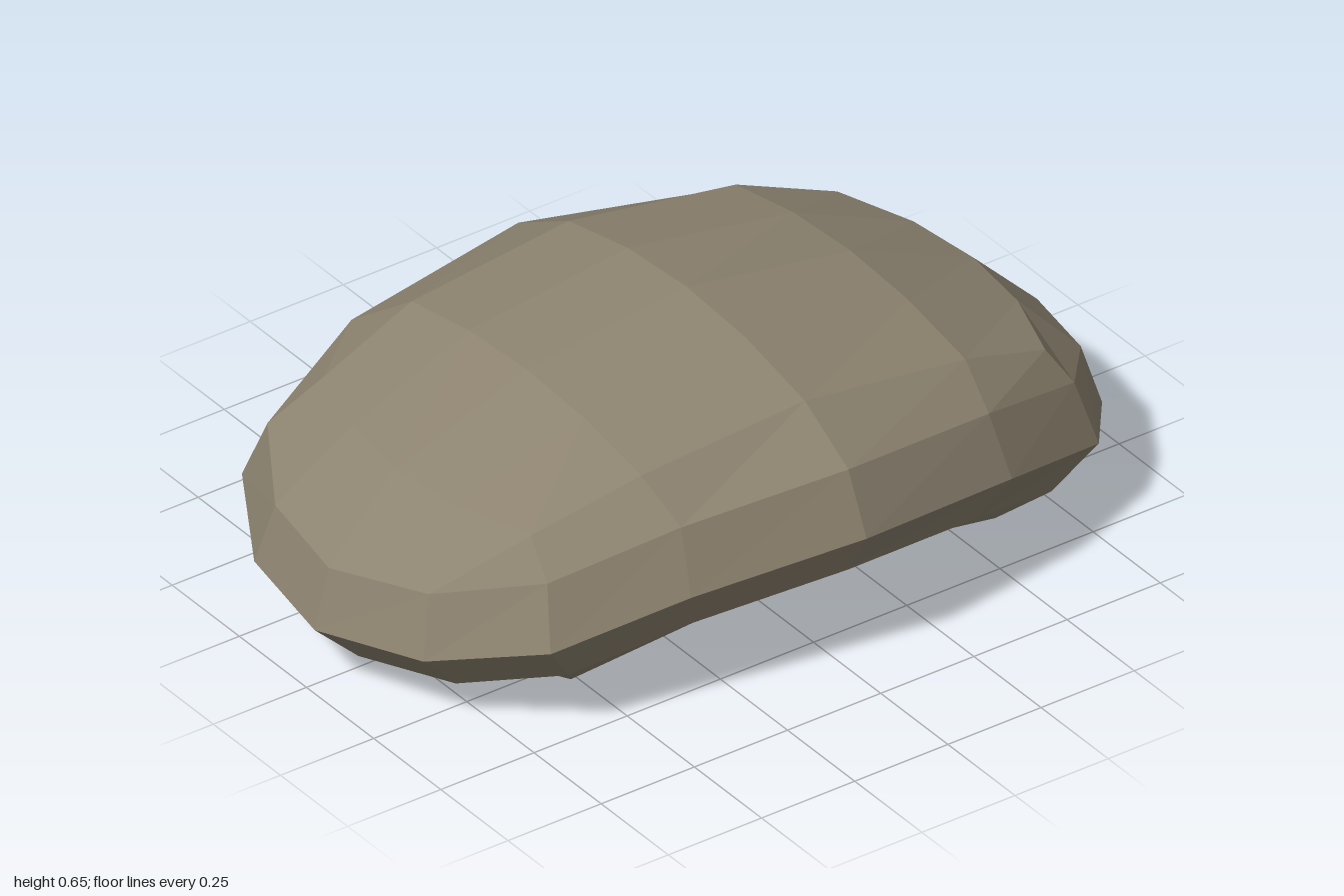
import * as THREE from 'three';

// Widest outline [x, z], from the front left corner round the model
const RIM = [
  [-0.72, 0.52], [-0.4, 0.6], [0.02, 0.67], [0.46, 0.6], [0.78, 0.48],
  [0.94, 0.27], [1, 0], [0.94, -0.27], [0.78, -0.48],
  [0.46, -0.6], [0.01, -0.68], [-0.49, -0.63], [-0.82, -0.49],
  [-0.96, -0.25], [-1, 0.03], [-0.91, 0.31],
];
// Lengthwise profiles of the domed top and hollow underside
const TOP = { x: [-0.76, -0.41, 0.02, 0.46, 0.79], y: [0.48, 0.605, 0.655, 0.58, 0.435], edge: [0, -0.05, -0.063, -0.055, 0] };
const BASE = { x: [-0.64, -0.3, 0.02, 0.32, 0.64], y: [0.02, 0.09, 0.12, 0.08, 0.003], edge: [0.045, 0.035, 0.03, 0.035, 0.045] };

function rimPoint(i, k) {
  if (k === 2) return RIM[i + 2];
  if (i === 2) return RIM[6 - k];
  if (k === -2) return RIM[10 - i];
  return RIM[14 + k];
}

// Grid cell corner (i, j, k), each from -2 to 2, to its place on the bent body
function place(i, j, k) {
  if (Math.abs(j) === 2) {
    const p = j > 0 ? TOP : BASE;
    const c = i + 2, v = (k * k) / 4;
    const tuck = Math.abs(i) === 2 ? 1 - 0.11 * v : 1;
    const narrow = Math.abs(i) === 2 ? 0.88 : Math.abs(i) === 1 ? 0.97 : 1;
    return [p.x[c] * tuck, p.y[c] + p.edge[c] * v, k * 0.22 * narrow];
  }
  const [x, z] = rimPoint(i, k);
  const y = 0.355 - (x > 0 ? 0.237 : 0.187) * x * x;
  if (j === 1) return [x * 0.96, y + 0.145, z * 0.9];
  if (j === -1) return [x * 0.88, y - 0.115, z * 0.9];
  return [x, y, z];
}

export function createModel() {
  const group = new THREE.Group();
  group.name = 'curvedPebble';

  // Subdivided block reshaped into a rounded, downward-bent body
  const geometry = new THREE.BoxGeometry(4, 4, 4, 4, 4, 4);
  const pos = geometry.attributes.position;
  for (let n = 0; n < pos.count; n++) {
    const [i, j, k] = [pos.getX(n), pos.getY(n), pos.getZ(n)].map((v) => Math.round(v) + 0);
    pos.setXYZ(n, ...place(i, j, k));
  }
  geometry.computeVertexNormals();

  const material = new THREE.MeshStandardMaterial({ color: 0x8d8370, flatShading: true });
  const body = new THREE.Mesh(geometry, material);
  body.name = 'body';
  group.add(body);
  return group;
}
